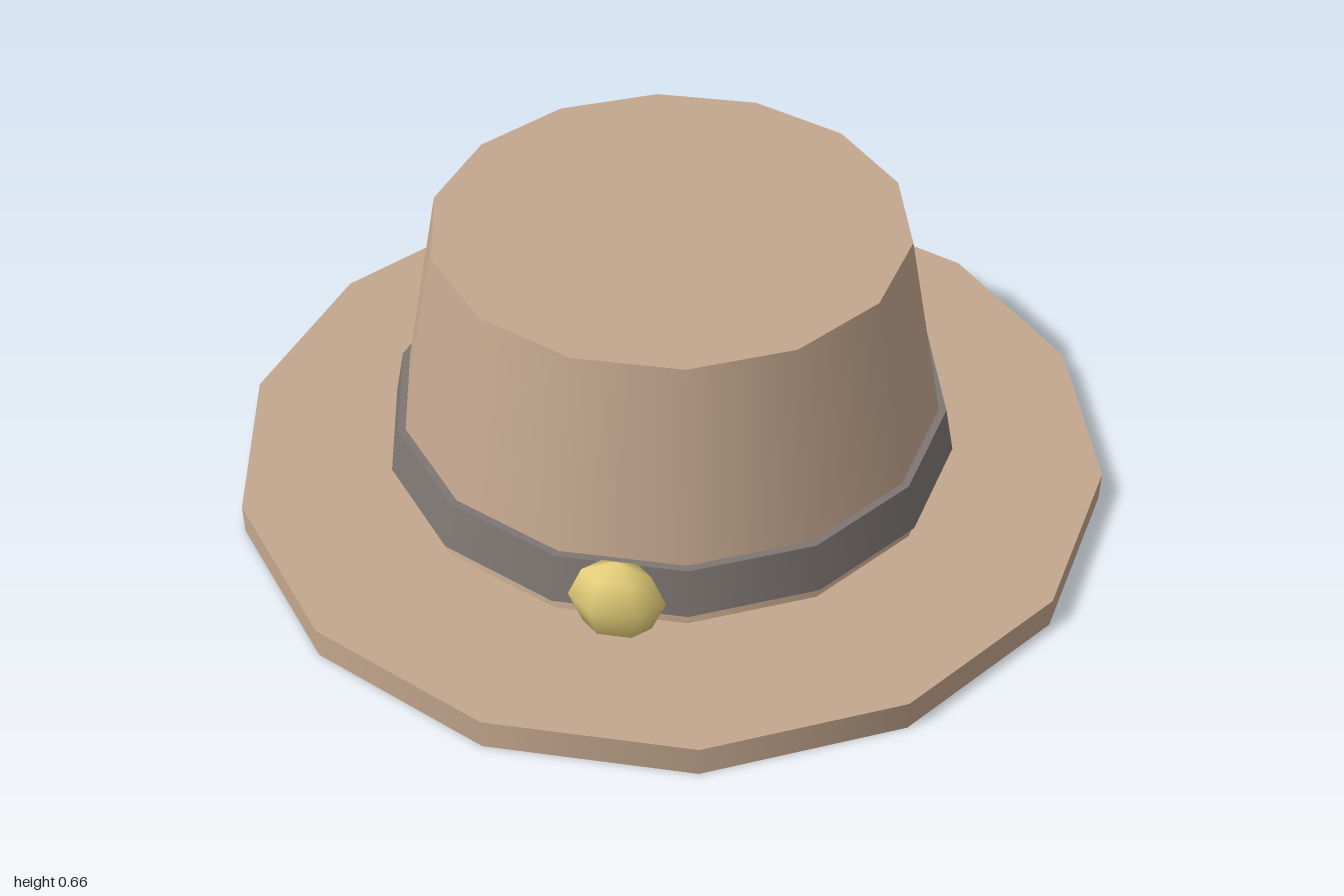
import * as THREE from 'three';

const SIDES = 14;

export function createModel() {
  const hat = new THREE.Group();
  hat.name = 'hat';

  const felt = new THREE.MeshStandardMaterial({ color: 0xc4a78e });
  const ribbon = new THREE.MeshStandardMaterial({ color: 0x7d7672 });
  const gold = new THREE.MeshStandardMaterial({ color: 0xe8d27a });

  // Tapered 14-sided ring section with corners on the x axis
  function section(name, topRadius, bottomRadius, y0, y1, material) {
    const geometry = new THREE.CylinderGeometry(
      topRadius, bottomRadius, y1 - y0, SIDES, 1, false, Math.PI / 2);
    const mesh = new THREE.Mesh(geometry, material);
    mesh.name = name;
    mesh.position.y = (y0 + y1) / 2;
    hat.add(mesh);
  }

  section('brim', 1, 1, 0, 0.07, felt);
  section('crown', 0.53, 0.645, 0.07, 0.66, felt);
  section('hatBand', 0.635, 0.657, 0.1, 0.21, ribbon);

  // Flattened bead on the front of the band, slightly sunk into the brim
  const bead = new THREE.Mesh(new THREE.SphereGeometry(0.104, 6, 4), gold);
  bead.name = 'frontBead';
  bead.scale.z = 0.54;
  bead.position.set(0, 0.157, 0.67);
  hat.add(bead);

  return hat;
}
